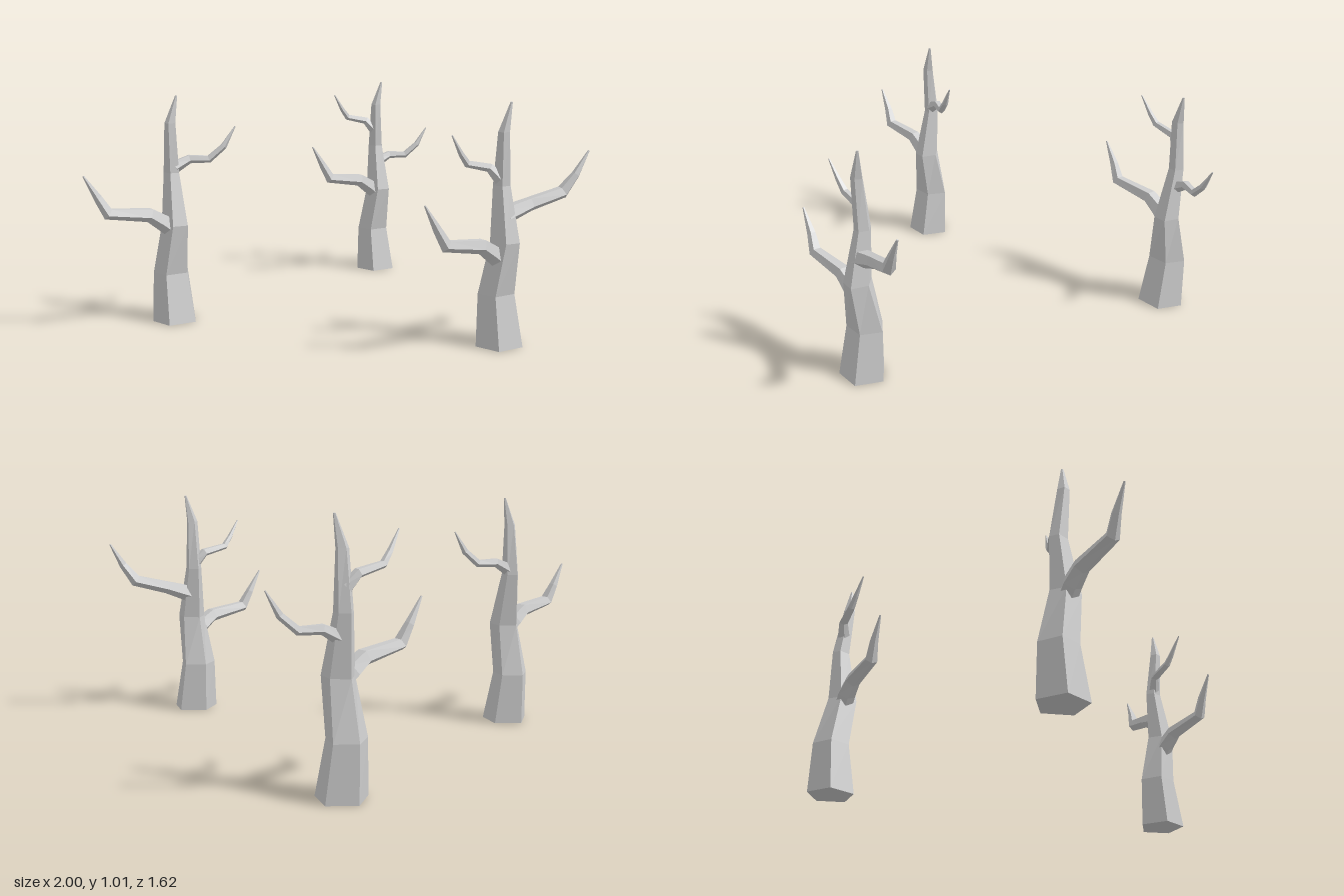
import * as THREE from 'three';

const SIDES = 5;
const material = new THREE.MeshStandardMaterial({ color: 0xcccccc, flatShading: true });

// Skin a list of five-point rings, closing both ends
function loft(rings, name) {
  const pos = [];
  const tri = (...pts) => pts.forEach((p) => pos.push(p.x, p.y, p.z));
  const middle = (ring) => ring.reduce((s, p) => s.add(p), new THREE.Vector3()).divideScalar(SIDES);
  const last = rings.length - 1;
  const start = middle(rings[0]), end = middle(rings[last]);
  for (let j = 0; j < SIDES; j++) {
    const k = (j + 1) % SIDES;
    for (let i = 0; i < last; i++) {
      const a = rings[i], b = rings[i + 1];
      tri(a[j], a[k], b[k]);
      tri(a[j], b[k], b[j]);
    }
    tri(start, rings[0][k], rings[0][j]);
    tri(end, rings[last][j], rings[last][k]);
  }
  const geometry = new THREE.BufferGeometry();
  geometry.setAttribute('position', new THREE.Float32BufferAttribute(pos, 3));
  geometry.computeVertexNormals();
  const mesh = new THREE.Mesh(geometry, material);
  mesh.name = name;
  return mesh;
}

// Trunk: horizontal pentagons [x, y, z, radiusX, radiusZ]
const TRUNK = [
  [0, 0, 0, 0.105, 0.1],
  [0.004, 0.22, -0.022, 0.086, 0.076],
  [0.001, 0.44, 0.015, 0.055, 0.068],
  [0.012, 0.67, -0.012, 0.033, 0.04],
  [0.003, 0.89, 0.002, 0.027, 0.024],
  [0.026, 1.01, 0.02, 0.005, 0.005],
];

function makeTrunk() {
  return loft(TRUNK.map(([x, y, z, rx, rz]) => Array.from({ length: SIDES }, (_, j) => {
    const a = (j / SIDES) * Math.PI * 2;
    return new THREE.Vector3(x + rx * Math.cos(a), y, z - rz * Math.sin(a));
  })), 'trunk');
}

// Branches: path points [x, y, z, radius]
const BRANCHES = {
  lowerRightBranch: [
    [-0.01, 0.42, 0.01, 0.04], [-0.05, 0.455, -0.005, 0.04], [-0.11, 0.495, -0.02, 0.034],
    [-0.295, 0.52, -0.06, 0.028], [-0.33, 0.59, -0.078, 0.019], [-0.385, 0.688, -0.095, 0.004],
  ],
  upperRightBranch: [
    [0.005, 0.695, -0.015, 0.028], [-0.03, 0.745, -0.045, 0.02], [-0.135, 0.768, -0.08, 0.016],
    [-0.17, 0.81, -0.085, 0.012], [-0.222, 0.887, -0.09, 0.003],
  ],
  largeLeftBranch: [
    [0.01, 0.55, 0.01, 0.042], [0.12, 0.588, 0.06, 0.031], [0.255, 0.628, 0.13, 0.029],
    [0.298, 0.7, 0.165, 0.018], [0.35, 0.797, 0.193, 0.004],
  ],
  smallLeftBranch: [
    [0.02, 0.585, 0, 0.03], [0.08, 0.617, 0.03, 0.021], [0.145, 0.615, 0.085, 0.018],
    [0.197, 0.67, 0.125, 0.015], [0.243, 0.757, 0.152, 0.003],
  ],
};

function makeBranch(name, lift) {
  const path = BRANCHES[name];
  const pts = path.map(([x, y, z]) => new THREE.Vector3(x, y + lift, z));
  // One fixed sideways axis keeps the sections from twisting
  const run = pts[pts.length - 1].clone().sub(pts[0]);
  const side = new THREE.Vector3(-run.z, 0, run.x).normalize();
  const rings = pts.map((p, i) => {
    const before = p.clone().sub(pts[Math.max(i - 1, 0)]).normalize();
    const after = pts[Math.min(i + 1, pts.length - 1)].clone().sub(p).normalize();
    const t = before.add(after).normalize();
    const u = side.clone().addScaledVector(t, -side.dot(t)).normalize();
    const v = t.clone().cross(u);
    return Array.from({ length: SIDES }, (_, j) => {
      const a = (j / SIDES) * Math.PI * 2 + Math.PI / 2;
      return p.clone()
        .addScaledVector(u, path[i][3] * Math.cos(a))
        .addScaledVector(v, path[i][3] * Math.sin(a));
    });
  });
  return loft(rings, name);
}

// Three trees sharing a trunk, each with its own branches and branch heights
const TREES = [
  { name: 'rightTree', at: [-0.62, -0.715], branches: { lowerRightBranch: 0, smallLeftBranch: 0.11 } },
  { name: 'middleTree', at: [0.02, 0.605],
    branches: { lowerRightBranch: -0.06, upperRightBranch: 0, largeLeftBranch: 0 } },
  { name: 'leftTree', at: [0.75, -0.715],
    branches: { lowerRightBranch: 0, upperRightBranch: 0.06, smallLeftBranch: 0 } },
];

export function createModel() {
  const model = new THREE.Group();
  model.name = 'bareTrees';
  for (const { name, at, branches } of TREES) {
    const tree = new THREE.Group();
    tree.name = name;
    tree.position.set(at[0], 0, at[1]);
    tree.add(makeTrunk());
    for (const [branch, lift] of Object.entries(branches)) tree.add(makeBranch(branch, lift));
    model.add(tree);
  }
  return model;
}
